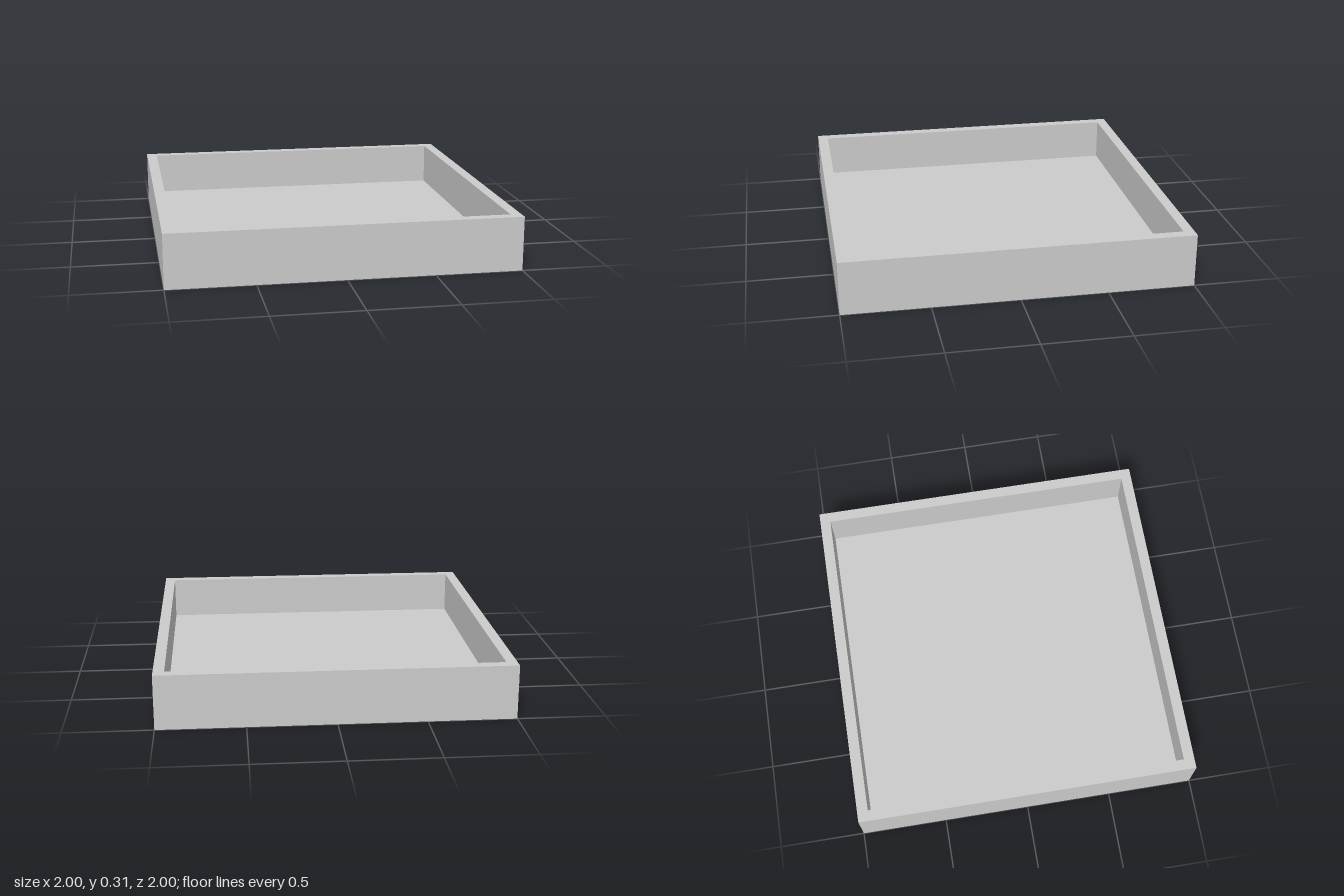
import * as THREE from 'three';

const HALF = 1;        // half the outer width
const HEIGHT = 0.3125;
const WALL = 0.0625;   // thickness of the walls and the floor

export function createModel() {
  const group = new THREE.Group();
  group.name = 'squareTray';

  // Section from the underside centre, up the outer wall, over the rim, down to the floor centre
  const inner = HALF - WALL;
  const section = [
    [0, 0], [HALF, 0], [HALF, HEIGHT], [inner, HEIGHT], [inner, WALL], [0, WALL],
  ].map(([r, y]) => new THREE.Vector2(r * Math.SQRT2, y));

  // Four-sided lathe, turned so that its sides face the axes: one closed shell
  const geometry = new THREE.LatheGeometry(section, 4).rotateY(Math.PI / 4).toNonIndexed();
  geometry.computeVertexNormals();

  const tray = new THREE.Mesh(
    geometry,
    new THREE.MeshStandardMaterial({ color: 0xcccccc, flatShading: true }),
  );
  tray.name = 'trayFloorAndWalls';
  group.add(tray);
  return group;
}
